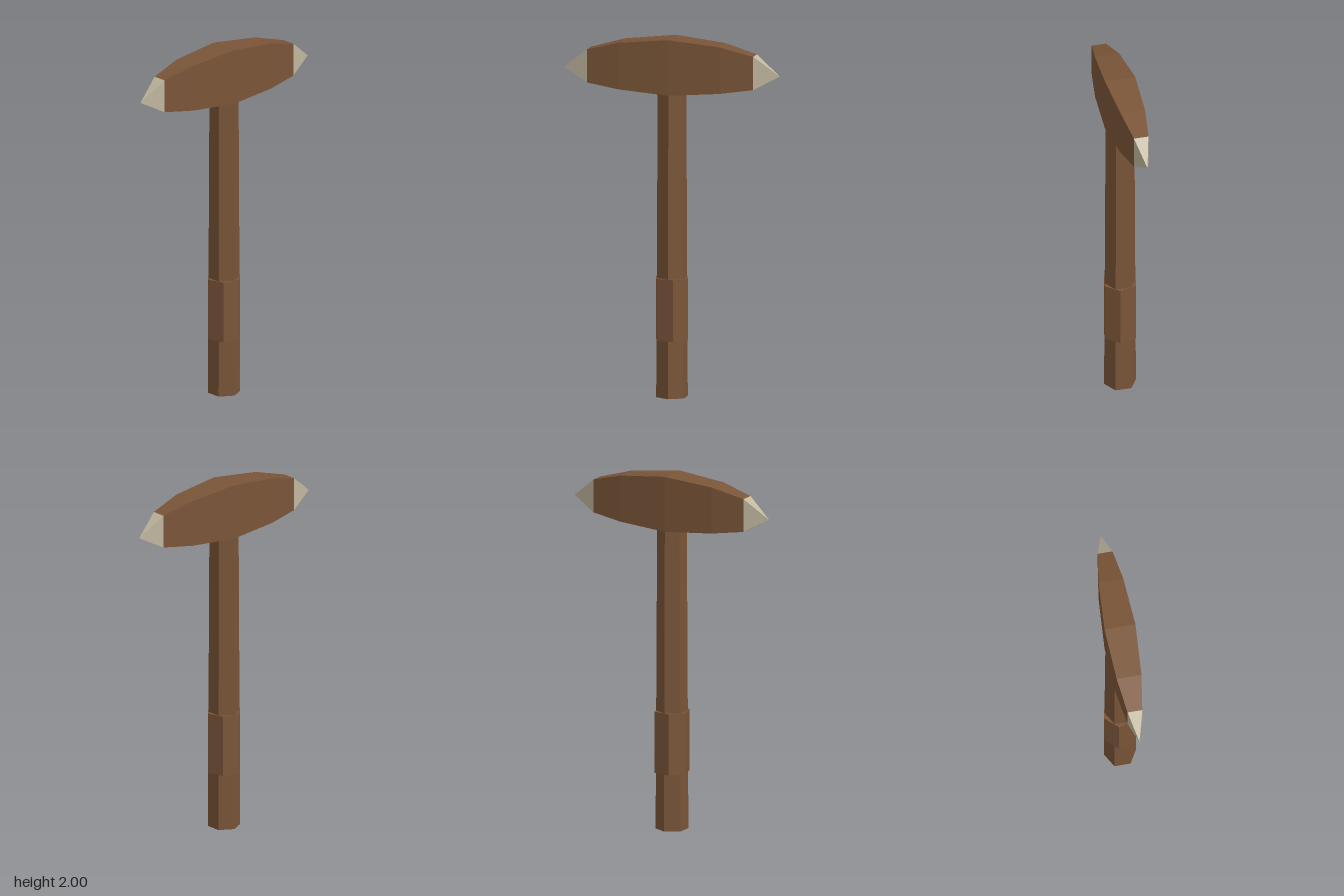
import * as THREE from 'three';

// Cross-sections along x: [x, bottom y, top y, half depth]
const half = [[0, 1.69, 2.0, 0.086], [0.285, 1.71, 1.97, 0.069], [0.47, 1.735, 1.92, 0.041], [0.61, 1.81, 1.81, 0]];
const mirrored = half.slice(1).reverse().map(([x, b, t, d]) => [-x, b, t, d]);
const sections = [...mirrored, ...half];

// Joins rectangular sections (ordered by rising x) with flat faces
function loft(list) {
  const points = [];
  const rings = list.map(([x, b, t, d]) => [[x, b, d], [x, b, -d], [x, t, -d], [x, t, d]]);
  for (let i = 0; i < rings.length - 1; i++) {
    const p = rings[i], q = rings[i + 1];
    for (let k = 0; k < 4; k++) {
      const n = (k + 1) % 4;
      // Skip the collapsed triangle where a section is a point
      if (list[i + 1][3] > 0) points.push(...p[k], ...q[n], ...q[k]);
      if (list[i][3] > 0) points.push(...p[k], ...p[n], ...q[n]);
      if (list[i + 1][3] === 0) points.splice(points.length - 3, 3, ...q[0]);
    }
  }
  const geometry = new THREE.BufferGeometry();
  geometry.setAttribute('position', new THREE.Float32BufferAttribute(points, 3));
  geometry.computeVertexNormals();
  return geometry;
}

export function createModel() {
  const wood = new THREE.MeshStandardMaterial({ color: 0x7a5538, flatShading: true });
  wood.name = 'brown wood';
  const stone = new THREE.MeshStandardMaterial({ color: 0xc2b8a0, flatShading: true });
  stone.name = 'pale stone';

  const model = new THREE.Group();
  model.name = 'pickHammer';
  const add = (name, geometry, material) => {
    const mesh = new THREE.Mesh(geometry, material);
    mesh.name = name;
    model.add(mesh);
    return mesh;
  };

  // Tapered six-sided handle, running up into the head
  add('handle', new THREE.CylinderGeometry(0.081, 0.09, 1.8, 6), wood).position.y = 0.9;

  // Thicker grip, twisted against the handle
  const grip = add('grip', new THREE.CylinderGeometry(0.1, 0.1, 0.345, 6), wood);
  grip.position.y = 0.4925;
  grip.rotation.y = 0.3;

  // Head with a pointed tip at each end
  add('head', loft(sections.slice(1, -1)), wood);
  add('rightTip', loft(sections.slice(0, 2)), stone);
  add('leftTip', loft(sections.slice(-2)), stone);

  return model;
}
